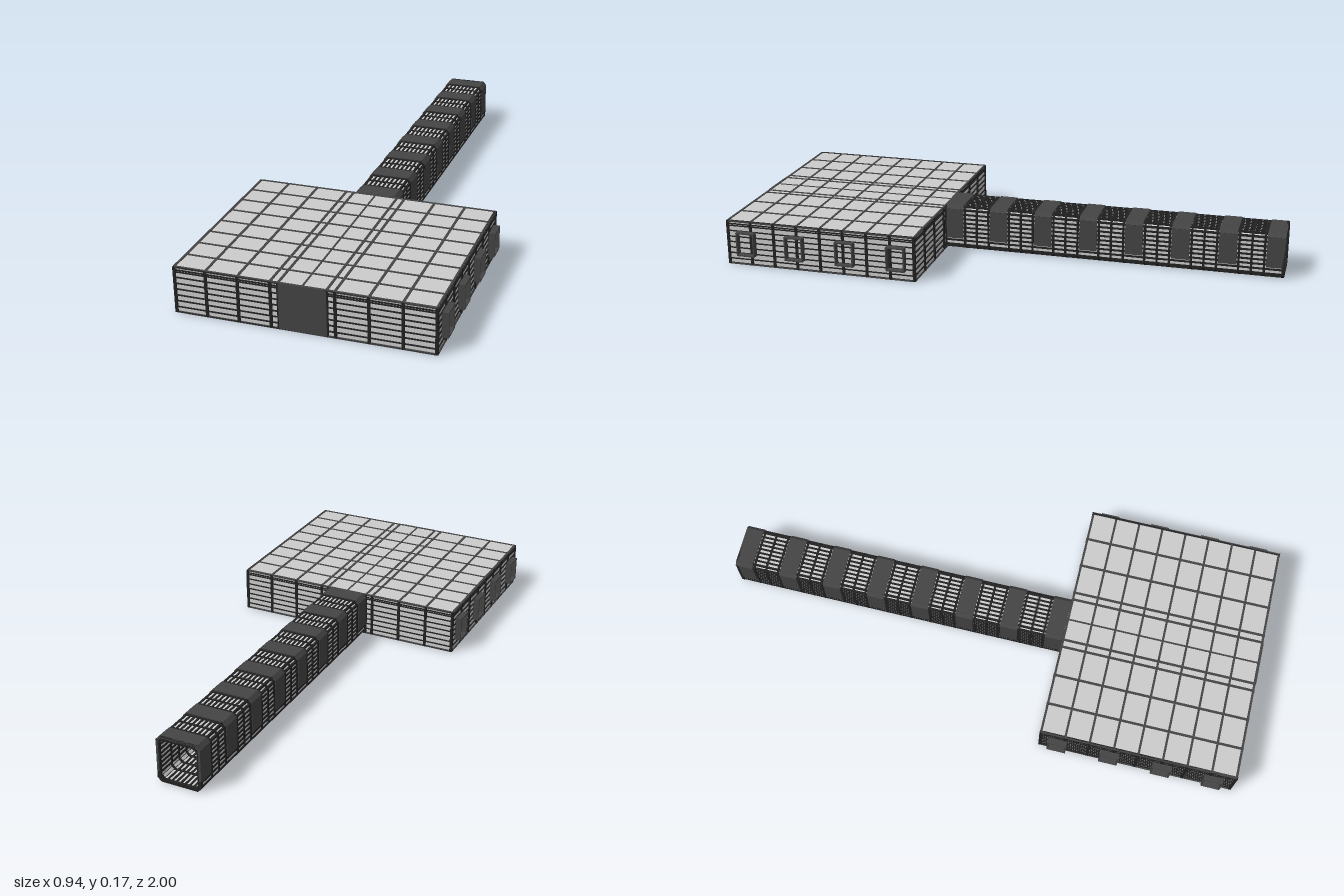
import * as THREE from 'three';
import { mergeGeometries } from 'three/addons/utils/BufferGeometryUtils.js';

const material = (name, color) => {
  const m = new THREE.MeshStandardMaterial({ color });
  m.name = name;
  return m;
};

// Box given by its centre and size
function box(x, y, z, w, h, d) {
  return new THREE.BoxGeometry(w, h, d).translate(x, y, z);
}

// Chamfered tunnel outline
function outline(T, w, y0, y1, c) {
  const s = new T();
  s.moveTo(-w + c, y0);
  s.lineTo(w - c, y0);
  s.lineTo(w, y0 + c);
  s.lineTo(w, y1 - c);
  s.lineTo(w - c, y1);
  s.lineTo(-w + c, y1);
  s.lineTo(-w, y1 - c);
  s.lineTo(-w, y0 + c);
  s.closePath();
  return s;
}

function tube(outer, inner, z0, z1) {
  const s = outline(THREE.Shape, ...outer);
  s.holes.push(outline(THREE.Path, ...inner));
  return new THREE.ExtrudeGeometry(s, { depth: z1 - z0, bevelEnabled: false }).translate(0, 0, z0);
}

export function createModel() {
  const light = material('panel grey', 0xcccccc);
  const plate = material('plate grey', 0x444444);
  const dark = material('frame black', 0x222222);
  const model = new THREE.Group();
  const add = (name, parts, mat) => {
    const mesh = new THREE.Mesh(mergeGeometries(parts.map(g => (g.index ? g.toNonIndexed() : g))), mat);
    mesh.name = name;
    model.add(mesh);
  };

  // Hall dimensions
  const W = 0.445, Z0 = 0.275, Z1 = 0.995, ZC = (Z0 + Z1) / 2, L = Z1 - Z0;
  const columns = [-0.445, -0.335, -0.223, -0.11, -0.082, 0.082, 0.11, 0.223, 0.335, 0.445];
  const rows = Array.from({ length: 9 }, (_, i) => Z0 + (L * i) / 8);
  const levels = [0.004, 0.022, 0.044, 0.065, 0.087, 0.108, 0.13, 0.15, 0.157, 0.168];

  add('hallWalls', [-1, 1].flatMap(s => [
    box(s * (W - 0.003), 0.085, ZC, 0.006, 0.16, L),
    box(0, 0.085, ZC + s * (L / 2 - 0.003), 2 * W, 0.16, 0.006),
  ]), light);
  add('hallRoof', [box(0, 0.165, ZC, 2 * W, 0.006, L)], light);
  add('hallFloor', [box(0, 0.005, ZC, 2 * W, 0.006, L)], light);

  // Grid of beams on the roof and floor
  for (const [name, y] of [['roofGrid', 0.167], ['floorGrid', 0.003]]) {
    const bars = [...columns, 0].map(x => box(x, y, ZC, x ? 0.009 : 0.006, 0.006, L));
    rows.forEach(z => bars.push(box(0, y, z, 2 * W, 0.006, 0.008)));
    add(name, bars, plate);
  }

  // Posts and rails around the walls
  const frame = [];
  for (const s of [-1, 1]) {
    const z = s > 0 ? Z1 : Z0;
    columns.forEach(x => frame.push(box(x, 0.085, z, 0.01, 0.168, 0.01)));
    rows.forEach(r => frame.push(box(s * W, 0.085, r, 0.01, 0.168, 0.01)));
    levels.forEach(y => {
      frame.push(box(0, y, z, 2 * W, 0.004, 0.008));
      frame.push(box(s * W, y, ZC, 0.008, 0.004, L));
    });
  }
  add('hallFrame', frame, dark);

  // Open box frames projecting from the side walls
  const hoods = [];
  for (const s of [-1, 1]) {
    for (const z of [0.34, 0.535, 0.73, 0.92]) {
      const x = s * 0.459;
      for (const k of [-1, 1]) {
        hoods.push(box(x, 0.086 + k * 0.043, z, 0.024, 0.005, 0.07));
        hoods.push(box(x, 0.086, z + k * 0.0325, 0.024, 0.09, 0.005));
      }
    }
  }
  add('sideWindowHoods', hoods, plate);

  // Front door with clipped top corners
  const door = new THREE.Shape([[-0.082, 0.004], [0.082, 0.004], [0.082, 0.165], [0.076, 0.17], [-0.076, 0.17], [-0.082, 0.165]]
    .map(p => new THREE.Vector2(...p)));
  add('frontDoor', [new THREE.ExtrudeGeometry(door, { depth: 0.006, bevelEnabled: false }).translate(0, 0, 0.995)], plate);

  // Corridor skin, open at the back end
  add('corridorSkin', [tube([0.078, 0.004, 0.166, 0.014], [0.074, 0.008, 0.162, 0.013], -0.998, 0.272)], light);

  // Lengthwise slats on all four sides
  const slats = [], zMid = -0.363, len = 1.266;
  for (let i = -4; i <= 4; i++) {
    for (const y of [0.006, 0.164]) slats.push(box(i * 0.0165, y, zMid, 0.007, 0.01, len));
    for (const s of [-1, 1]) slats.push(box(s * 0.076, 0.085 + i * 0.0172, zMid, 0.01, 0.007, len));
  }
  add('corridorSlats', slats, dark);

  // Plated arches with cross ribs between them
  const arches = [], ribs = [];
  for (let i = 0; i < 8; i++) {
    const z = -0.967 + i * 0.1721;
    arches.push(box(0, 0.167, z, 0.14, 0.008, 0.066));
    for (const s of [-1, 1]) {
      arches.push(box(s * 0.079, 0.099, z, 0.008, 0.116, 0.066));
      arches.push(new THREE.BoxGeometry(0.02, 0.008, 0.066).rotateZ(-s * Math.PI / 4).translate(s * 0.074, 0.162, z));
    }
    if (i < 7) {
      for (const dz of [0.04, 0.086, 0.132]) {
        ribs.push(tube([0.082, 0, 0.169, 0.014], [0.071, 0.011, 0.159, 0.012], z + dz - 0.004, z + dz + 0.004));
      }
    }
  }
  add('corridorArches', arches, plate);
  ribs.push(tube([0.083, 0, 0.171, 0.014], [0.07, 0.012, 0.158, 0.012], -1, -0.99));
  add('corridorRibs', ribs, dark);
  return model;
}
